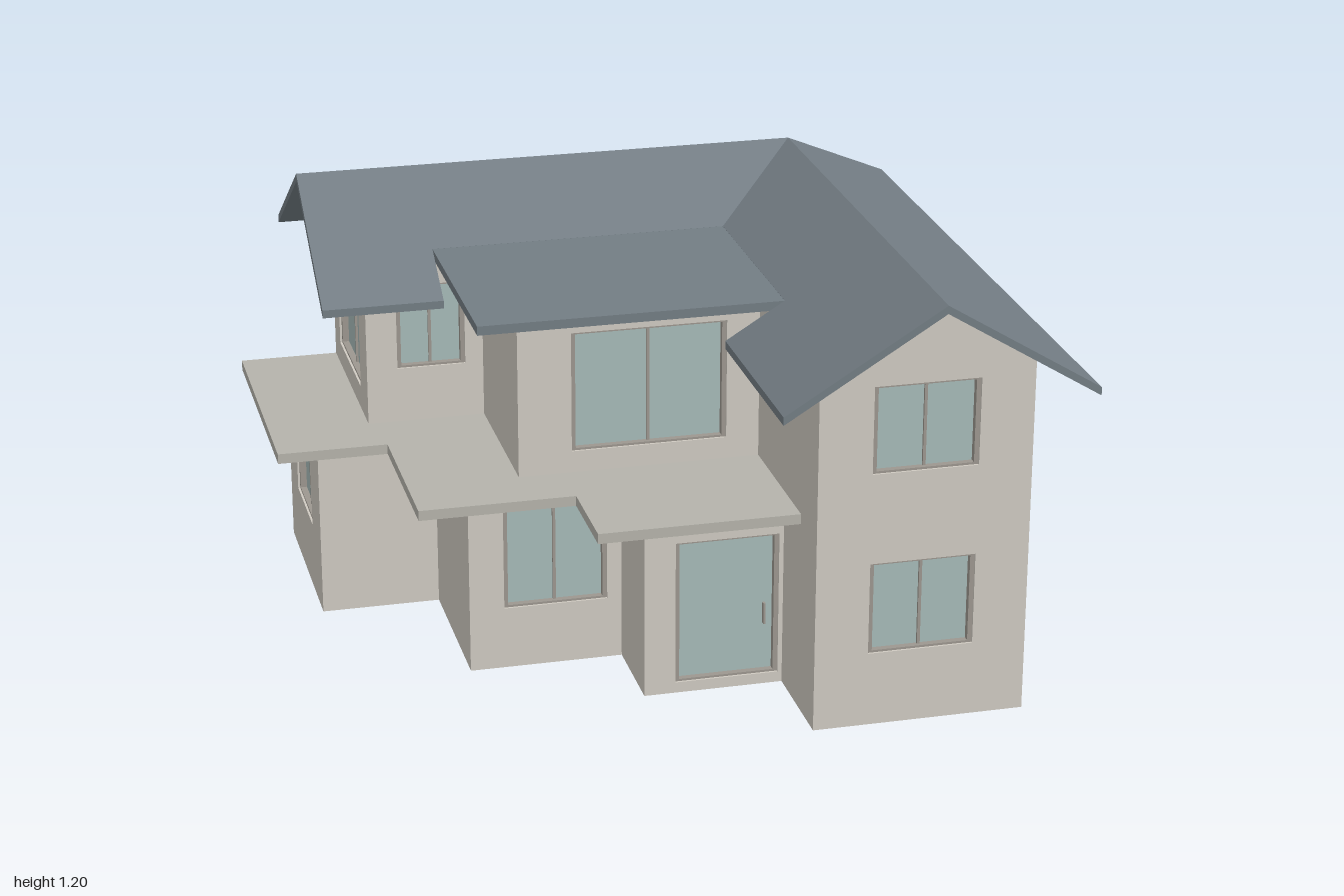
import * as THREE from 'three';

const mat = (color) => new THREE.MeshStandardMaterial({ color });
const WALL = mat(0xcfcac1), ROOF = mat(0x737d84), GLASS = mat(0xa6bab8);
const FRAME = mat(0x9c978f), SLAB = mat(0xb5b3ab);
const THICK = 0.05;      // wall thickness
const ROOF_T = 0.022;    // vertical roof thickness
const RIDGE = 1.2, PITCH = 0.614, RIDGE_X = 0.55, RIDGE_Z = -0.515;

// Facing of a wall: turn about y, and sign from world coordinate to local u
const FACING = {
  front: { turn: 0, sign: 1 },
  back: { turn: Math.PI, sign: -1 },
  right: { turn: Math.PI / 2, sign: -1 },   // faces +x
  left: { turn: -Math.PI / 2, sign: 1 },    // faces -x
};

const shapeOf = (pts) => new THREE.Shape(pts.map(([a, b]) => new THREE.Vector2(a, b)));
const rect = (a, b, y0, y1) => [[a, y0], [b, y0], [b, y1], [a, y1]];

function addBox(parent, name, material, w, h, d, x, y, z) {
  const m = new THREE.Mesh(new THREE.BoxGeometry(w, h, d), material);
  m.name = name;
  m.position.set(x, y, z);
  parent.add(m);
}

// Recessed pane with a frame and a middle bar, in wall space
function addWindow(parent, u0, u1, y0, y1, kind) {
  const g = new THREE.Group();
  g.name = kind;
  const w = u1 - u0, h = y1 - y0, u = (u0 + u1) / 2, y = (y0 + y1) / 2, f = 0.012;
  addBox(g, 'pane', GLASS, w, h, 0.008, u, y, -0.028);
  for (const s of [-1, 1]) {
    addBox(g, 'frameSide', FRAME, f, h, 0.024, u + s * (w - f) / 2, y, -0.018);
    addBox(g, 'frameRail', FRAME, w, f / 2, 0.024, u, y + s * (h - f / 2) / 2, -0.018);
  }
  if (kind === 'window') addBox(g, 'middleBar', FRAME, 0.008, h, 0.01, u, y, -0.022);
  else addBox(g, 'handle', FRAME, 0.006, 0.06, 0.014, u1 - 0.035, y0 + 0.17, -0.018);
  parent.add(g);
}

// Wall panel on a plane; outline and openings use the world coordinate along it
function addWall(house, name, facing, plane, outline, openings = []) {
  const { turn, sign } = FACING[facing];
  const wall = new THREE.Group();
  wall.name = name;
  const shape = shapeOf(outline.map(([a, y]) => [a * sign, y]));
  const spans = openings.map(([a, b, y0, y1, kind = 'window']) =>
    [Math.min(a * sign, b * sign), Math.max(a * sign, b * sign), y0, y1, kind]);
  for (const [a, b, y0, y1] of spans) shape.holes.push(shapeOf(rect(a, b, y0, y1)));
  const geo = new THREE.ExtrudeGeometry(shape, { depth: THICK, bevelEnabled: false });
  geo.translate(0, 0, -THICK);
  const panel = new THREE.Mesh(geo, WALL);
  panel.name = 'wallPanel';
  wall.add(panel);
  for (const s of spans) addWindow(wall, ...s);
  wall.rotation.y = turn;
  if (facing === 'front' || facing === 'back') wall.position.z = plane;
  else wall.position.x = plane;
  house.add(wall);
}

// Horizontal plate with an [x, z] footprint; lift(x, z) tilts it as a roof plane
function addPlate(house, name, material, pts, y0, y1, lift) {
  const geo = new THREE.ExtrudeGeometry(shapeOf(pts.map(([x, z]) => [x, -z])),
    { depth: y1 - y0, bevelEnabled: false });
  geo.rotateX(-Math.PI / 2).translate(0, y0, 0);
  if (lift) {
    const p = geo.attributes.position;
    for (let i = 0; i < p.count; i++) p.setY(i, p.getY(i) + lift(p.getX(i), p.getZ(i)));
    geo.computeVertexNormals();
  }
  const m = new THREE.Mesh(geo, material);
  m.name = name;
  house.add(m);
}

export function createModel() {
  const house = new THREE.Group();
  house.name = 'house';
  const E = 1.0, MID = 0.54;   // wall height at the eaves, ground floor height
  const peak = RIDGE - ROOF_T;

  // Base and floor slabs
  addPlate(house, 'base', WALL, [[-0.87, -0.8], [0.835, -0.8], [0.835, 0.8], [0.26, 0.8], [0.26, 0.5],
    [-0.12, 0.5], [-0.12, 0.24], [-0.54, 0.24], [-0.54, -0.23], [-0.87, -0.23]], 0, 0.02);
  addPlate(house, 'terraceSlab', SLAB, [[-1, -0.8], [-1, -0.07], [-0.7, -0.07], [-0.7, 0.4], [-0.28, 0.4],
    [-0.28, 0.655], [0.262, 0.655], [0.262, -0.79], [-0.72, -0.79], [-0.72, -0.8]], 0.527, 0.555);
  addPlate(house, 'sideBalcony', SLAB, [[0.82, -0.425], [1, -0.425], [1, 0.315], [0.82, 0.315]], 0.527, 0.555);

  // Front walls
  addWall(house, 'gableWall', 'front', 0.8,
    [[0.26, 0], [0.835, 0], [0.835, E], [RIDGE_X, peak], [0.26, E]],
    [[0.405, 0.69, 0.205, 0.46], [0.405, 0.69, 0.71, 0.95]]);
  addWall(house, 'entranceWall', 'front', 0.5, rect(-0.12, 0.26, 0, MID), [[-0.035, 0.248, 0.03, 0.435, 'door']]);
  addWall(house, 'livingWall', 'front', 0.24, rect(-0.54, -0.12, 0, MID), [[-0.445, -0.16, 0.175, 0.46]]);
  addWall(house, 'cornerWall', 'front', -0.23, rect(-0.87, -0.54, 0, MID));
  addWall(house, 'upperBayWall', 'front', 0.24, rect(-0.4, 0.26, MID, 1.02), [[-0.255, 0.17, 0.615, 0.95]]);
  addWall(house, 'upperCornerWall', 'front', -0.23, rect(-0.725, -0.4, MID, 1.015), [[-0.64, -0.45, 0.71, 0.95]]);

  // Long side wall, with the balcony door
  addWall(house, 'longSideWall', 'right', 0.835, rect(-0.8, 0.8, 0, E), [
    [0.435, 0.675, 0.205, 0.46], [0.01, 0.245, 0.205, 0.46], [-0.335, -0.145, 0.315, 0.46],
    [0.155, 0.285, 0.556, 0.9], [-0.02, 0.12, 0.835, 0.91],
    [-0.335, -0.195, 0.9, 0.97], [-0.675, -0.485, 0.475, 0.725]]);

  // Back wall, wider at ground level
  addWall(house, 'backWall', 'back', -0.8,
    [[-0.87, 0], [0.835, 0], [0.835, E], [-0.725, E], [-0.725, MID], [-0.87, MID]], [
      [0.3, 0.49, 0.18, 0.36], [0.08, 0.225, 0.03, 0.43, 'door'], [-0.315, -0.085, 0.175, 0.46],
      [-0.705, -0.457, 0.175, 0.46], [0.08, 0.273, 0.71, 0.95]]);

  // Walls facing the stepped side
  addWall(house, 'outerSideWall', 'left', -0.87, rect(-0.8, -0.23, 0, MID), [[-0.66, -0.385, 0.2, 0.46]]);
  addWall(house, 'wingGableWall', 'left', -0.725,
    [[-0.8, MID], [-0.23, MID], [-0.23, E], [RIDGE_Z, peak], [-0.8, E]], [[-0.71, -0.35, 0.62, 0.95]]);
  addWall(house, 'livingReturn', 'left', -0.54, rect(-0.23, 0.24, 0, MID));
  addWall(house, 'entranceReturn', 'left', -0.12, rect(0.24, 0.5, 0, MID));
  addWall(house, 'gableReturn', 'left', 0.26, rect(0.24, 0.8, 0, E));
  addWall(house, 'upperBayReturn', 'left', -0.4, rect(-0.23, 0.24, MID, 1.02));

  // Two crossing roof ridges meeting in a hip and a valley
  const acrossX = (x) => -Math.abs(x - RIDGE_X) * PITCH;
  const acrossZ = (x, z) => -Math.abs(z - RIDGE_Z) * PITCH;
  const roof = (name, pts, lift) => addPlate(house, name, ROOF, pts, peak, RIDGE, lift);
  const apex = [RIDGE_X, RIDGE_Z], valley = [0.29, -0.255];
  roof('roofOuterSlope', [[RIDGE_X, 0.925], [0.965, 0.925], [0.965, -0.93], apex], acrossX);
  roof('roofInnerSlope', [[0.13, 0.925], [RIDGE_X, 0.925], apex, valley, [0.29, 0.37], [0.13, 0.37]], acrossX);
  roof('roofBackSlope', [[-0.86, -0.93], [0.965, -0.93], apex, [-0.86, RIDGE_Z]], acrossZ);
  roof('roofWingSlope', [[-0.86, RIDGE_Z], apex, valley, [-0.53, -0.255], [-0.53, -0.1], [-0.86, -0.1]], acrossZ);

  // Flat roof over the upper bay
  addPlate(house, 'flatRoof', ROOF, [[-0.53, -0.255], [0.29, -0.255], [0.29, 0.37], [-0.53, 0.37]], 1.015, 1.04);
  return house;
}
